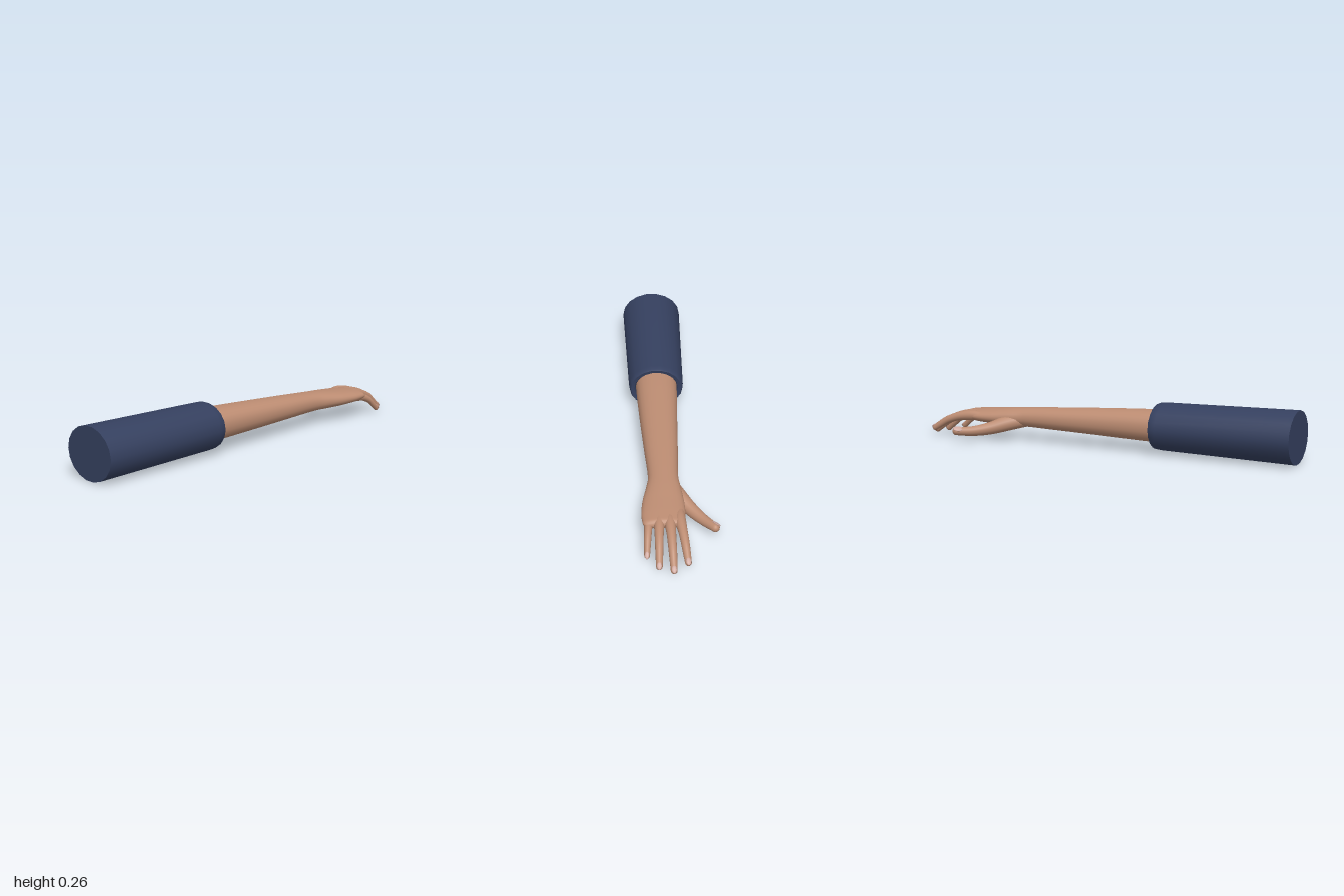
import * as THREE from 'three';
import { toCreasedNormals } from 'three/addons/utils/BufferGeometryUtils.js';

const V = (x, y, z) => new THREE.Vector3(x, y, z);

// Local frame of a limb: side and normal axes across the direction of travel
function frame(tangent, up) {
  const side = tangent.clone().cross(up).normalize();
  return { side, normal: side.clone().cross(tangent).normalize() };
}

// Smooth limb through sections [x, y, z, halfWidth, halfHeight] with a rounded end.
// square > 0 makes the cross-section boxier.
function limb(sections, { up = V(0, 1, 0), sides = 16, steps = 20, square = 0 } = {}) {
  const path = new THREE.CatmullRomCurve3(sections.map(s => V(s[0], s[1], s[2])));
  const size = new THREE.CatmullRomCurve3(sections.map(s => V(s[3], s[4], 0)));
  const rings = [];
  for (let i = 0; i <= steps; i++) {
    const r = size.getPoint(i / steps);
    rings.push({ c: path.getPoint(i / steps), t: path.getTangent(i / steps), w: r.x, h: r.y });
  }
  const end = rings[steps], reach = Math.min(end.w, end.h);
  for (let k = 1; k <= 5; k++) {
    const a = k / 5 * Math.PI / 2, inset = reach * (1 - Math.cos(a));
    rings.push({
      c: end.c.clone().addScaledVector(end.t, reach * Math.sin(a)), t: end.t,
      w: (end.w - inset) * (k === 5 ? 0.96 : 1), h: Math.max(end.h - inset, 0.0002),
    });
  }
  const pos = [], index = [];
  rings.forEach(({ c, t, w, h }, i) => {
    const { side, normal } = frame(t, up);
    for (let j = 0; j < sides; j++) {
      const a = j / sides * Math.PI * 2, cos = Math.cos(a), sin = Math.sin(a);
      const k = 1 + square * (2 * sin * cos) ** 2;
      const p = c.clone().addScaledVector(side, cos * w * k).addScaledVector(normal, sin * h * k);
      pos.push(p.x, p.y, p.z);
      if (i === rings.length - 1) continue;
      const n = (j + 1) % sides, b = i * sides, d = b + sides;
      index.push(b + j, d + j, b + n, b + n, d + j, d + n);
    }
  });
  const g = new THREE.BufferGeometry();
  g.setAttribute('position', new THREE.Float32BufferAttribute(pos, 3));
  g.setIndex(index);
  g.computeVertexNormals();
  return { geometry: g, path, end };
}

export function createModel() {
  const skin = new THREE.MeshStandardMaterial({ name: 'skin', color: 0xbc8c72 });
  const cloth = new THREE.MeshStandardMaterial({ name: 'navy cloth', color: 0x35405f });
  const nailPink = new THREE.MeshStandardMaterial({ name: 'nail pink', color: 0xcba59c });

  const model = new THREE.Group();
  model.name = 'arm';
  const add = (name, geometry, material, parent = model) => {
    const m = new THREE.Mesh(geometry, material);
    m.name = name;
    parent.add(m);
    return m;
  };

  // Sleeve: closed at the shoulder end, with a rolled cuff edge
  const profile = [[0.095, 0.31], [0.112, 0.283], [0.131, 0.279], [0.136, 0.287],
    [0.139, 0.315], [0.154, 1], [0, 1]].map(p => new THREE.Vector2(...p));
  const sleeveShape = new THREE.LatheGeometry(profile, 18, Math.PI / 2);
  sleeveShape.rotateX(Math.PI / 2).scale(1, 0.85, 1);
  const sleeve = add('sleeve', toCreasedNormals(sleeveShape, 0.8), cloth);
  sleeve.position.set(0.051, 0.137, 0);

  // Forearm, wrist and palm in one run
  add('forearmAndPalm', limb([
    [0.05, 0.138, 0.38, 0.107, 0.082],
    [0.05, 0.137, 0.20, 0.102, 0.077],
    [0.05, 0.134, -0.02, 0.092, 0.068],
    [0.048, 0.130, -0.25, 0.081, 0.058],
    [0.047, 0.126, -0.44, 0.072, 0.049],
    [0.049, 0.123, -0.53, 0.084, 0.045],
    [0.054, 0.120, -0.62, 0.098, 0.039],
    [0.057, 0.119, -0.70, 0.102, 0.033],
    [0.058, 0.119, -0.755, 0.097, 0.027],
  ], { sides: 28, steps: 40, square: 0.06 }).geometry, skin);

  // A digit with a thin nail plate lying on its tip
  function digit(name, sections, up, nailLength) {
    const group = new THREE.Group();
    group.name = name;
    model.add(group);
    const { geometry, path, end } = limb(sections, { up });
    add(name + 'Flesh', geometry, skin, group);
    const at = 0.97, t = path.getTangent(at), { side, normal } = frame(t, up);
    const nail = add(name + 'Nail', new THREE.SphereGeometry(1, 14, 8), nailPink, group);
    nail.scale.set(end.w * 0.76, 0.0048, nailLength);
    nail.quaternion.setFromRotationMatrix(
      new THREE.Matrix4().makeBasis(side, normal, t.clone().negate()));
    nail.position.copy(path.getPoint(at)).addScaledVector(normal, end.h * 0.88)
      .addScaledVector(t, 0.003);
  }

  // Fingers: [name, base x, tip x, tip y, tip z, knuckle z, thickness]
  const fingers = [
    ['indexFinger', -0.018, -0.044, 0.046, -0.952, -0.745, 1],
    ['middleFinger', 0.029, 0.021, 0.024, -0.978, -0.755, 1],
    ['ringFinger', 0.079, 0.086, 0.022, -0.948, -0.75, 0.97],
    ['littleFinger', 0.125, 0.139, 0.031, -0.882, -0.725, 0.85],
  ];
  for (const [name, bx, tx, ty, tz, kz, s] of fingers) {
    const by = name === 'littleFinger' ? 0.114 : 0.122;
    const at = (u, drop, r) => [bx + (tx - bx) * u, by + (ty - by) * drop,
      kz + (tz - kz) * u, r * s, r * s];
    digit(name, [
      [bx, by, kz + 0.07, 0.021 * s, 0.020 * s],
      at(0, 0, 0.026), at(0.35, 0.12, 0.0215), at(0.65, 0.4, 0.0195),
      at(0.85, 0.73, 0.0175), at(1, 1, 0.0155),
    ], V(0, 1, 0), 0.019);
  }

  // Thumb, rolled so its nail faces outward and up
  digit('thumb', [
    [0.03, 0.115, -0.44, 0.036, 0.034],
    [-0.015, 0.097, -0.53, 0.040, 0.038],
    [-0.073, 0.072, -0.61, 0.031, 0.033],
    [-0.13, 0.062, -0.68, 0.024, 0.026],
    [-0.180, 0.066, -0.742, 0.021, 0.021],
  ], V(-0.55, 0.75, 0.35), 0.027);

  return model;
}
